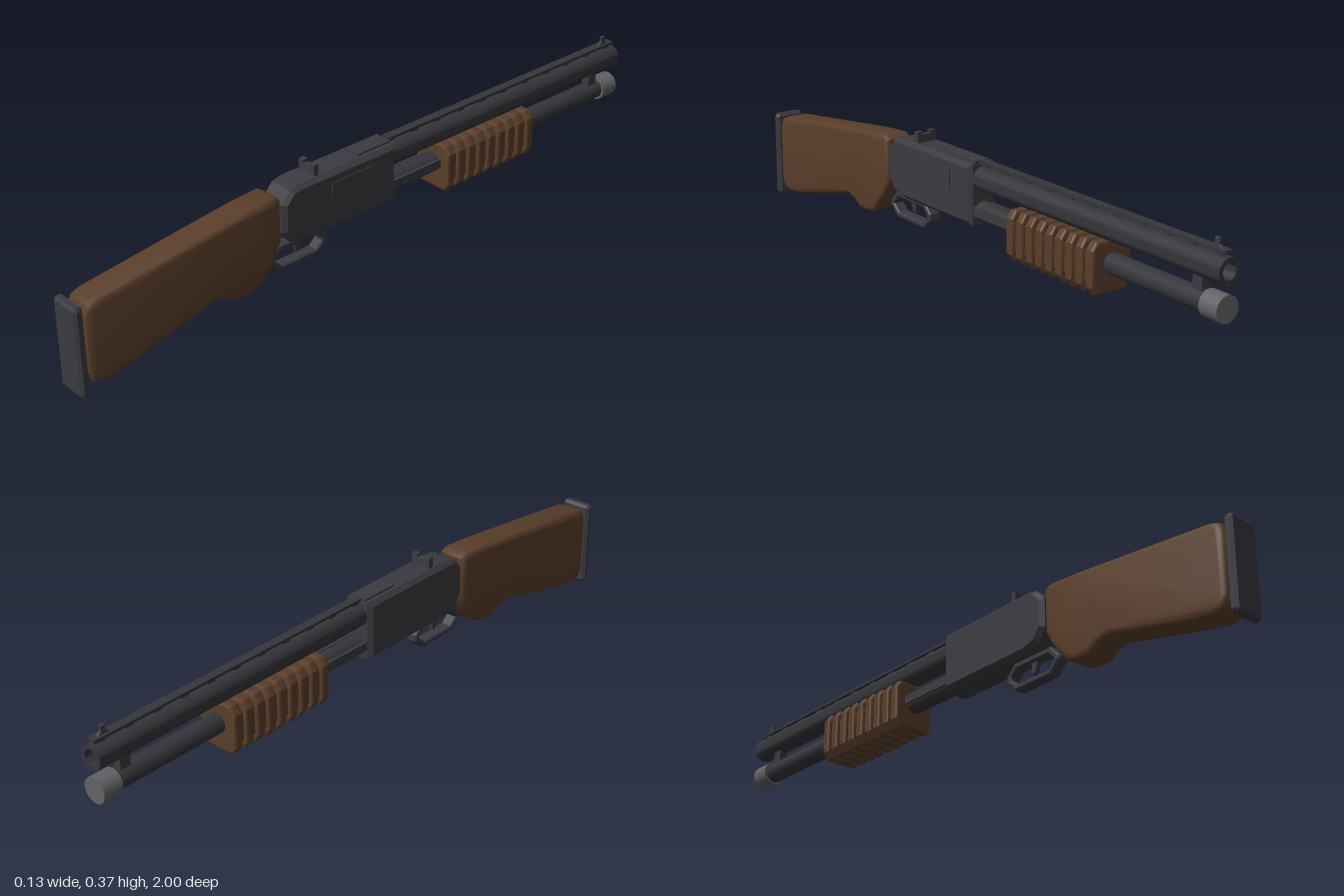
import * as THREE from 'three';
import { toCreasedNormals } from 'three/addons/utils/BufferGeometryUtils.js';

const mat = (name, color) => new THREE.MeshStandardMaterial({ name, color });

export function createModel() {
  const model = new THREE.Group();
  model.name = 'pumpActionLongGun';
  const steel = mat('dark steel', 0x3a3a40);
  const barrelSteel = mat('barrel steel', 0x35353a);
  const capSteel = mat('cap steel', 0x626266);
  const wood = mat('walnut wood', 0x5a3e2a);
  const black = mat('bore black', 0x1c1c1f);

  function add(name, geometry, material, x = 0, y = 0, z = 0) {
    const mesh = new THREE.Mesh(geometry, material);
    mesh.name = name;
    mesh.position.set(x, y, z);
    model.add(mesh);
    return mesh;
  }
  const points = (list) => list.map(([a, b]) => new THREE.Vector2(a, b));

  // Side profile in (z, y), extruded across x with bevelled edges
  function slab(profile, halfWidth, bevel, segments = 1, hole = null, crease = 0.3) {
    const shape = new THREE.Shape(points(profile));
    if (hole) shape.holes.push(new THREE.Path(points(hole)));
    const geometry = new THREE.ExtrudeGeometry(shape, {
      depth: 2 * (halfWidth - bevel), bevelEnabled: bevel > 0, bevelSize: bevel,
      bevelThickness: bevel, bevelOffset: -bevel, bevelSegments: segments,
    });
    geometry.translate(0, 0, -(halfWidth - bevel));
    geometry.rotateY(-Math.PI / 2);
    return toCreasedNormals(geometry, crease);
  }
  const rect = (z0, z1, y0, y1) => [[z0, y0], [z1, y0], [z1, y1], [z0, y1]];
  const box = (name, w, h, d, x, y, z, material = steel) =>
    add(name, new THREE.BoxGeometry(w, h, d), material, x, y, z);
  function rod(name, radius, z0, z1, y, material, sides = 20, open = false) {
    const geometry = new THREE.CylinderGeometry(radius, radius, Math.abs(z1 - z0), sides, 1, open);
    geometry.rotateX(Math.PI / 2);
    return add(name, geometry, material, 0, y, (z0 + z1) / 2);
  }

  // Shoulder stock and butt pad
  add('stock', slab([
    [0.352, 0.315], [0.352, 0.19], [0.375, 0.145], [0.425, 0.085], [0.46, 0.07],
    [0.51, 0.07], [0.54, 0.09], [0.575, 0.098], [0.84, 0.034], [0.92, 0.02],
    [0.955, 0.028], [0.968, 0.06], [0.968, 0.23], [0.957, 0.255], [0.93, 0.266],
    [0.47, 0.32], [0.37, 0.327],
  ], 0.045, 0.016, 3, null, 0.7), wood);
  box('padSpacer', 0.06, 0.19, 0.02, 0, 0.14, 0.97);
  add('buttPad', slab([
    [0.974, 0.008], [0.98, 0], [0.994, 0], [1, 0.008],
    [1, 0.257], [0.994, 0.265], [0.98, 0.265], [0.974, 0.257],
  ], 0.047, 0.008), steel);

  // Receiver with raised front bridge and ejection port on the left
  add('receiver', slab([
    [-0.055, 0.16], [0.27, 0.16], [0.32, 0.172], [0.347, 0.21],
    [0.347, 0.295], [0.318, 0.328], [0.29, 0.335], [-0.055, 0.335],
  ], 0.047, 0.012), steel);
  box('receiverTopRidge', 0.05, 0.008, 0.12, 0, 0.336, 0.01);
  box('ejectionPort', 0.004, 0.058, 0.145, 0.048, 0.275, 0.108);

  // Trigger and guard
  add('triggerGuard', slab([
    [0.376, 0.115], [0.376, 0.125], [0.345, 0.16], [0.205, 0.16],
    [0.175, 0.13], [0.175, 0.11], [0.208, 0.08], [0.342, 0.08],
  ], 0.018, 0.004, 1, [
    [0.358, 0.118], [0.338, 0.142], [0.213, 0.142],
    [0.193, 0.124], [0.193, 0.116], [0.215, 0.097], [0.335, 0.097],
  ]), steel);
  add('trigger', slab([
    [0.29, 0.17], [0.283, 0.135], [0.275, 0.11], [0.264, 0.11],
    [0.262, 0.135], [0.255, 0.17],
  ], 0.008, 0.002), steel);

  // Hollow barrel, lathed around its axis
  const barrel = new THREE.LatheGeometry(points([
    [0.035, 0], [0.035, 0.95], [0.035, 0.95], [0.022, 0.95], [0.022, 0.95], [0.022, 0.85],
  ]), 24);
  barrel.rotateX(-Math.PI / 2);
  add('barrel', toCreasedNormals(barrel, 0.6), barrelSteel, 0, 0.291, -0.05);
  rod('boreEnd', 0.022, -0.89, -0.895, 0.291, black);

  // Magazine tube, end cap, barrel clamp and action bars
  rod('magazineTube', 0.029, -0.05, -0.95, 0.197, barrelSteel);
  rod('magazineCap', 0.036, -0.938, -0.998, 0.197, capSteel);
  box('barrelClamp', 0.026, 0.05, 0.032, 0, 0.242, -0.908);
  for (const side of [-1, 1]) {
    box('actionBar', 0.008, 0.026, 0.22, side * 0.03, 0.202, -0.155);
  }

  // Ribbed sliding fore-end
  function foreSection(inset, z0, z1, bevel) {
    const w = 0.064 - inset, top = 0.26 - inset, low = 0.118 + inset;
    const half = [[w - 0.015, low], [w, low + 0.022], [w, top - 0.022], [w - 0.015, top]];
    const outline = [...half, ...half.map(([x, y]) => [-x, y]).reverse()];
    const geometry = new THREE.ExtrudeGeometry(new THREE.Shape(points(outline)), {
      depth: z1 - z0 - 2 * bevel, bevelEnabled: true, bevelSize: bevel,
      bevelThickness: bevel, bevelOffset: -bevel, bevelSegments: 2,
    });
    geometry.translate(0, 0, z0 + bevel);
    return toCreasedNormals(geometry, 0.3);
  }
  add('foreEndCore', foreSection(0.01, -0.585, -0.24, 0.004), wood);
  const ribs = 9, pitch = 0.0405;
  for (let i = 0; i < ribs; i++) {
    const z = -0.592 + i * pitch;
    add('foreEndRib', foreSection(0, z, z + 0.029, 0.007), wood);
  }

  // Ventilated sighting rib on posts
  box('sightingRib', 0.026, 0.008, 0.94, 0, 0.337, -0.525, barrelSteel);
  for (let i = 0; i < 11; i++) {
    box('ribPost', 0.016, 0.018, 0.026, 0, 0.327, -0.07 - i * 0.09, barrelSteel);
  }

  // Front bead sight and notched rear sight
  add('frontSight', slab([
    [-0.98, 0.339], [-0.935, 0.339], [-0.952, 0.348], [-0.952, 0.365],
    [-0.966, 0.365], [-0.966, 0.348],
  ], 0.005, 0.001), steel);
  const rear = new THREE.ExtrudeGeometry(new THREE.Shape(points([
    [-0.031, 0.33], [0.031, 0.33], [0.031, 0.366], [0.013, 0.366],
    [0.013, 0.358], [-0.013, 0.358], [-0.013, 0.366], [-0.031, 0.366],
  ])), { depth: 0.016, bevelEnabled: false });
  add('rearSight', rear, steel, 0, 0, 0.213);

  return model;
}
